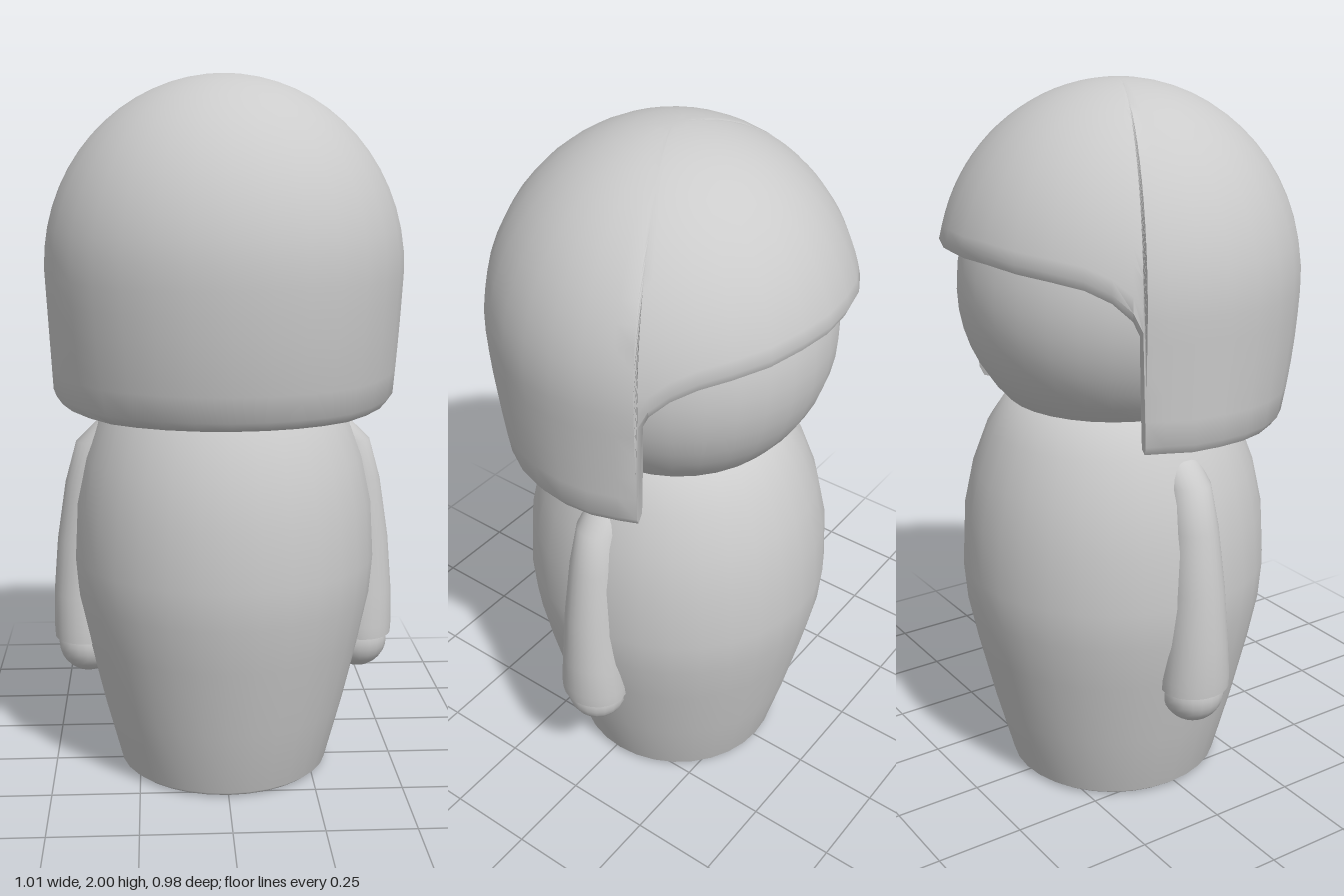
import * as THREE from 'three';
import { toCreasedNormals } from 'three/addons/utils/BufferGeometryUtils.js';

const material = new THREE.MeshStandardMaterial({ color: 0xcccccc, side: THREE.DoubleSide });

// Skin a list of equally long columns of points; the columns close into a loop
function skin(columns, crease) {
  const rows = columns[0].length;
  const index = [];
  columns.forEach((_, i) => {
    const a = i * rows, b = ((i + 1) % columns.length) * rows;
    for (let j = 0; j < rows - 1; j++) {
      index.push(a + j, b + j, a + j + 1, b + j, b + j + 1, a + j + 1);
    }
  });
  const geometry = new THREE.BufferGeometry();
  geometry.setAttribute('position', new THREE.Float32BufferAttribute(columns.flat(2), 3));
  geometry.setIndex(index);
  return toCreasedNormals(geometry, crease);
}

function addMesh(parent, name, geometry) {
  const mesh = new THREE.Mesh(geometry, material);
  mesh.name = name;
  parent.add(mesh);
  return mesh;
}

// Radius of the hair at a height, tucked in towards the nape
function hairRadius(y, angle) {
  if (y > 1.47) return 0.5 * Math.sqrt(Math.max(0, 1 - ((y - 1.47) / 0.53) ** 2));
  const nape = Math.max(0, -Math.cos(angle));
  return 0.5 - 0.055 * (1.47 - y) - nape * 0.03 * (Math.max(0, 1.4 - y) / 0.3) ** 2;
}

// Hair shell: each column runs down the outside, round the rim and up the inside
function hairGeometry() {
  // degrees from the middle of the fringe, height of the lower edge
  const half = [
    [0, 1.57], [12, 1.57], [24, 1.56], [36, 1.55], [46, 1.535], [54, 1.505], [60, 1.46], [62.8, 1.41],
    [64, 1.105], [70, 1.105], [80, 1.1], [90, 1.1], [101, 1.095], [112, 1.09], [124, 1.085],
    [135, 1.08], [146, 1.08], [157, 1.08], [168, 1.08], [180, 1.08],
  ];
  const mirrored = half.slice(1, -1).reverse().map(([a, y]) => [-a, y]);
  const steps = 20;
  const columns = [...half, ...mirrored].map(([degrees, edge]) => {
    const angle = THREE.MathUtils.degToRad(degrees);
    const point = (r, y) => [1.01 * r * Math.sin(angle), y, -r * Math.cos(angle)];
    const outer = [], inner = [];
    for (let j = 0; j <= steps; j++) {
      const y = 2 - (2 - edge - 0.025) * (1 - Math.cos((j / steps) * Math.PI / 2));
      const r = hairRadius(y, angle);
      outer.push(point(r, y));
      const insideY = y > 1.47 ? 1.47 + (y - 1.47) * 0.87 : y;
      inner.unshift(point(r * 0.86, insideY));
    }
    const r = hairRadius(edge, angle);
    return [...outer, point(r - 0.015, edge), point(r * 0.88, edge), ...inner];
  });
  return skin(columns, 0.9);
}

// Sleeve: oval rings from the shoulder to the cuff
function sleeveGeometry() {
  // height, centre x, half width in x, half width in z
  const rings = [
    [1.075, 0.3, 0, 0], [1.065, 0.3, 0.025, 0.03], [1.03, 0.315, 0.05, 0.052], [0.97, 0.36, 0.066, 0.062],
    [0.85, 0.387, 0.072, 0.07], [0.68, 0.405, 0.08, 0.08], [0.52, 0.41, 0.088, 0.09],
    [0.42, 0.408, 0.092, 0.1], [0.385, 0.408, 0.09, 0.099], [0.385, 0.408, 0, 0],
  ];
  const sides = 24;
  const columns = Array.from({ length: sides }, (_, i) => {
    const a = (i / sides) * Math.PI * 2;
    return rings.map(([y, x, rx, rz]) => [x + rx * Math.cos(a), y, rz * Math.sin(a)]);
  });
  return skin(columns, 0.9);
}

export function createModel() {
  const model = new THREE.Group();
  model.name = 'doll';

  // Barrel-shaped body
  const profile = [
    [0, 0], [0.29, 0], [0.305, 0.012], [0.355, 0.2], [0.402, 0.4], [0.428, 0.53], [0.437, 0.64],
    [0.428, 0.8], [0.4, 0.93], [0.355, 1.05], [0.295, 1.14], [0.18, 1.2],
  ].map(([x, y]) => new THREE.Vector2(x, y));
  const body = addMesh(model, 'body', new THREE.LatheGeometry(profile, 32));
  body.scale.z = 1.01;
  body.position.z = -0.02;

  // Head with the hair around it; the face looks towards -z
  const head = addMesh(model, 'head', new THREE.SphereGeometry(0.43, 32, 24));
  head.position.set(0, 1.45, -0.02);
  addMesh(model, 'hair', hairGeometry());

  // Arms
  const sleeve = sleeveGeometry();
  for (const side of [1, -1]) {
    const arm = new THREE.Group();
    arm.name = side > 0 ? 'leftArm' : 'rightArm';
    arm.position.z = -0.02;
    arm.scale.x = side;
    addMesh(arm, 'sleeve', sleeve);
    const hand = addMesh(arm, 'hand', new THREE.SphereGeometry(0.088, 20, 14));
    hand.position.set(0.4, 0.365, 0);
    model.add(arm);
  }
  return model;
}
